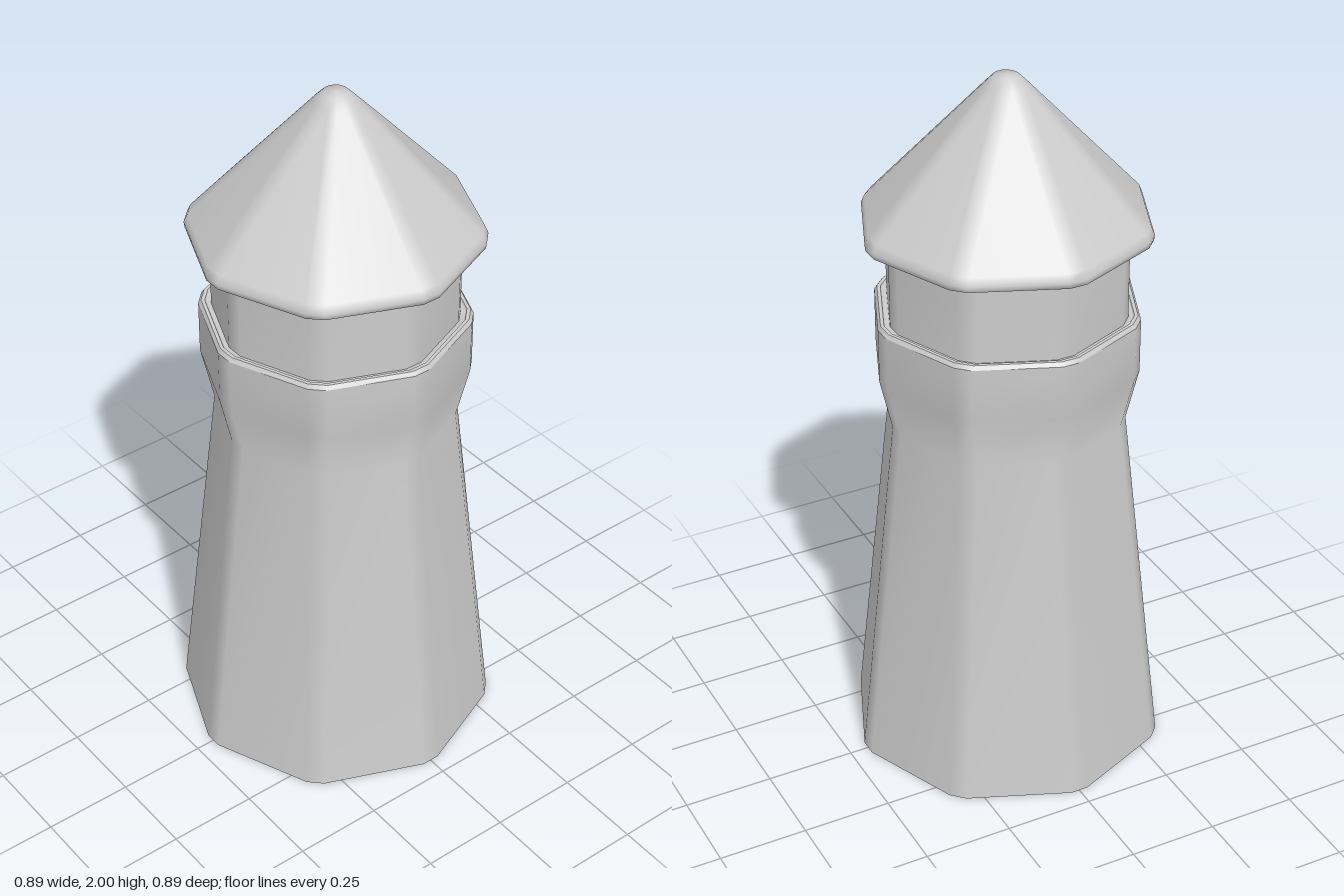
import * as THREE from 'three';

const SIDES = 8;
const BEVEL = 0.025; // half width of the cut corner

// One ring of an octagon with cut corners; corner radius r at height y.
function ring(r, y) {
  const h = Math.min(BEVEL, r * 0.2);
  const pts = [];
  for (let i = 0; i < SIDES; i++) {
    const a = (i / SIDES) * Math.PI * 2;
    for (const s of [-h, h]) {
      pts.push(r * Math.cos(a) - s * Math.sin(a), y, r * Math.sin(a) + s * Math.cos(a));
    }
  }
  return pts;
}

// Skins a bottom-to-top profile of [radius, height] with smooth shading inside the strip.
function strip(profile, material) {
  const n = SIDES * 2;
  const pos = [];
  const idx = [];
  for (const [r, y] of profile) pos.push(...ring(r, y));
  for (let k = 0; k < profile.length - 1; k++) {
    for (let i = 0; i < n; i++) {
      const a = k * n + i, b = k * n + ((i + 1) % n), c = a + n, d = b + n;
      if (profile[k + 1][0] > 0) idx.push(c, d, b);
      if (profile[k][0] > 0) idx.push(a, c, b);
    }
  }
  const geo = new THREE.BufferGeometry();
  geo.setAttribute('position', new THREE.Float32BufferAttribute(pos, 3));
  geo.setIndex(idx);
  geo.computeVertexNormals(); // area weighting keeps the wide faces nearly flat
  return new THREE.Mesh(geo, material);
}

// A part made of strips, with hard edges between them.
function part(name, strips, material) {
  const group = new THREE.Group();
  group.name = name;
  strips.forEach((profile, i) => {
    const mesh = strip(profile, material);
    mesh.name = `${name}Surface${i + 1}`;
    group.add(mesh);
  });
  return group;
}

export function createModel() {
  const grey = new THREE.MeshStandardMaterial({ color: 0xcccccc });
  const model = new THREE.Group();
  model.name = 'tower';

  // Tapered shaft flaring into the gallery, with a small bevelled rim and ledge
  model.add(part('shaft', [
    [[0, 0], [0.445, 0]],
    [[0.445, 0], [0.33, 1.03], [0.365, 1.18], [0.365, 1.335]],
    [[0.365, 1.335], [0.357, 1.346]],
    [[0.357, 1.346], [0.347, 1.346]],
    [[0.347, 1.346], [0.343, 1.338], [0.31, 1.338]],
  ], grey));

  // Straight-walled room below the roof
  model.add(part('lanternRoom', [
    [[0.33, 1.33], [0.33, 1.58]],
  ], grey));

  // Pointed roof with rounded eaves and a blunt tip
  model.add(part('roof', [
    [[0.31, 1.57], [0.382, 1.57]],
    [[0.382, 1.57], [0.393, 1.575], [0.395, 1.59], [0.385, 1.613], [0.056, 1.972], [0.034, 1.995], [0, 2]],
  ], grey));

  return model;
}
